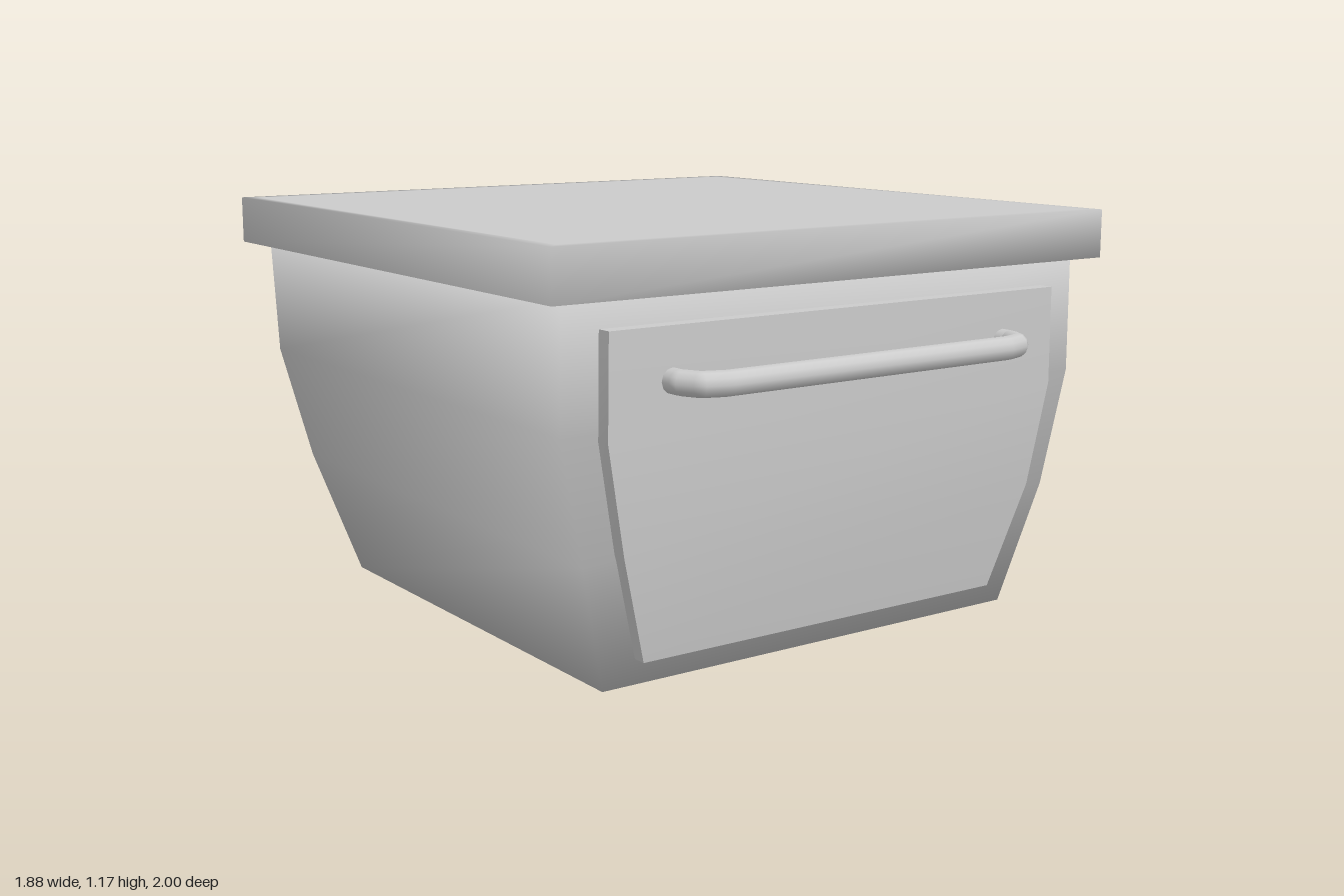
import * as THREE from 'three';
import { toCreasedNormals } from 'three/addons/utils/BufferGeometryUtils.js';

const material = new THREE.MeshStandardMaterial({ color: 0xcccccc });

// Skins a closed solid over rectangular rings: [y, left x, right x, back z, front z]
function loft(rings) {
  const positions = [];
  const index = [];
  for (const [y, x0, x1, z0, z1] of rings) {
    positions.push(x1, y, z1, x1, y, z0, x0, y, z0, x0, y, z1);
  }
  for (let i = 0; i < rings.length - 1; i++) {
    for (let j = 0; j < 4; j++) {
      const a = i * 4 + j;
      const b = i * 4 + (j + 1) % 4;
      index.push(a, b, b + 4, a, b + 4, a + 4);
    }
  }
  const t = (rings.length - 1) * 4;
  index.push(0, 3, 2, 0, 2, 1, t, t + 1, t + 2, t, t + 2, t + 3);
  const geometry = new THREE.BufferGeometry();
  geometry.setAttribute('position', new THREE.Float32BufferAttribute(positions, 3));
  geometry.setIndex(index);
  geometry.computeVertexNormals();
  return geometry;
}

function addPart(group, name, geometry) {
  const mesh = new THREE.Mesh(geometry, material);
  mesh.name = name;
  group.add(mesh);
}

// Straight-sided path for the bent bar
function polyline(points) {
  const path = new THREE.CurvePath();
  for (let i = 0; i < points.length - 1; i++) {
    path.add(new THREE.LineCurve3(points[i], points[i + 1]));
  }
  return path;
}

export function createModel() {
  const group = new THREE.Group();
  group.name = 'bedsideCabinet';

  // Bulging cabinet body, smooth around its corners
  addPart(group, 'cabinetBody', loft([
    [0, -0.715, 0.705, -0.685, 0.737],
    [0.36, -0.81, 0.805, -0.82, 0.797],
    [0.7, -0.883, 0.878, -0.877, 0.815],
    [1.04, -0.878, 0.873, -0.932, 0.818],
  ]));

  // Overhanging top slab with narrow softened borders
  const inset = 0.04;
  const slabRing = (y, d) => [y, -0.94 + d, 0.935 - d, -1 + d, 0.877 - d];
  addPart(group, 'topSlab', loft([
    slabRing(1.035, inset), slabRing(1.035, 0), slabRing(1.175, 0), slabRing(1.175, inset),
  ]));

  // Curved drawer front following the body
  addPart(group, 'drawerFront', toCreasedNormals(loft([
    [0.075, -0.622, 0.605, 0.72, 0.79],
    [0.38, -0.715, 0.7, 0.77, 0.842],
    [0.68, -0.772, 0.758, 0.79, 0.859],
    [0.96, -0.77, 0.753, 0.79, 0.862],
  ]), 0.6));

  // Bar handle with rounded bends
  const side = [[0.57, 0.84], [0.57, 0.895], [0.545, 0.945], [0.485, 0.966]];
  const points = [
    ...side.map(([x, z]) => new THREE.Vector3(-x - 0.01, 0.82, z)),
    ...side.slice().reverse().map(([x, z]) => new THREE.Vector3(x - 0.01, 0.82, z)),
  ];
  addPart(group, 'drawerHandle', new THREE.TubeGeometry(polyline(points), 160, 0.034, 12));

  return group;
}
